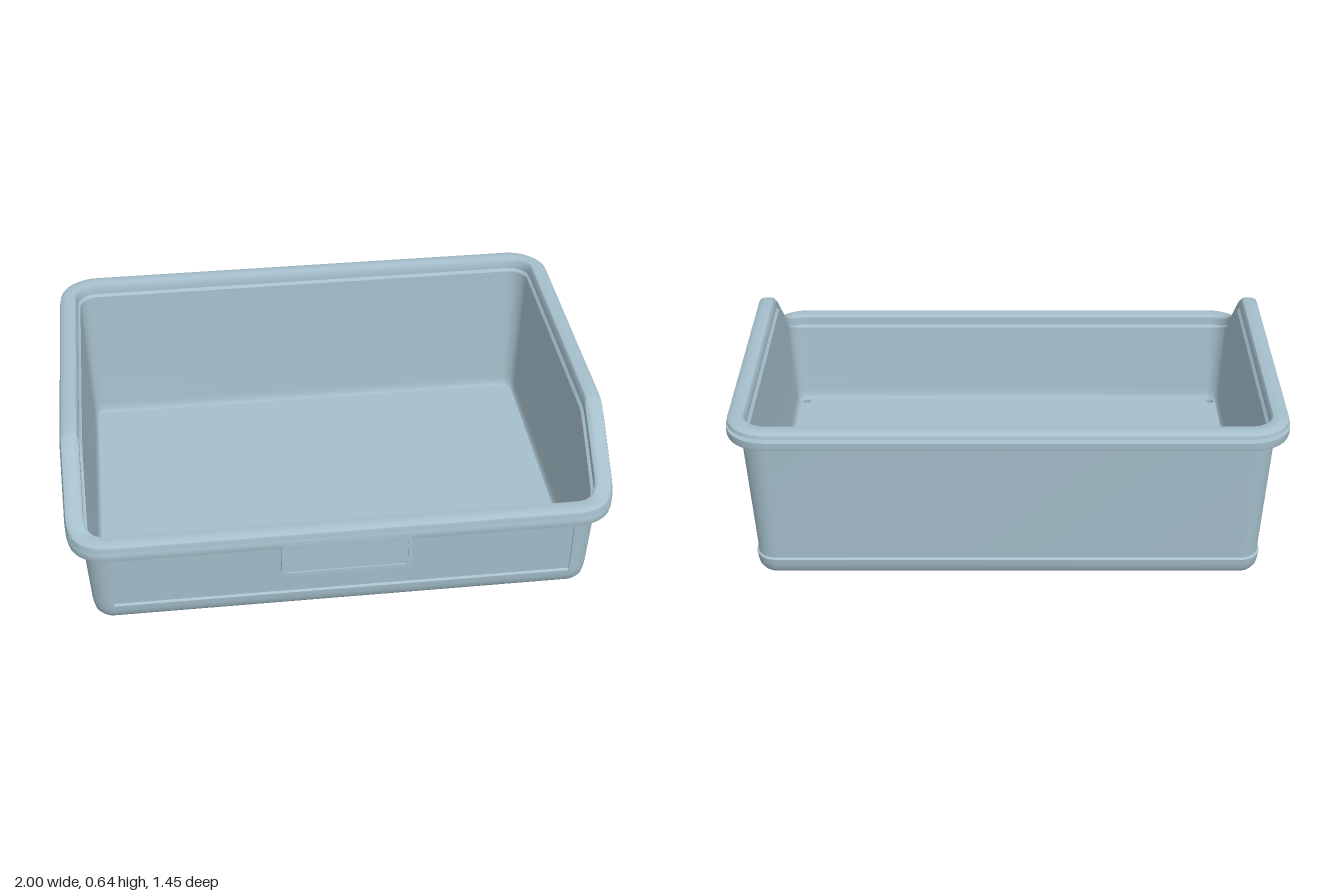
import * as THREE from 'three';
import { toCreasedNormals } from 'three/addons/utils/BufferGeometryUtils.js';

const HX = 0.92, HZ = 0.645, R = 0.07; // body outline half sizes and corner radius

// height of the rim: high at the back, sloping down to a low front
const RIM = [[0.33, 0.645], [0.36, 0.64], [0.4, 0.612], [0.6, 0.438], [0.64, 0.415], [0.67, 0.41]];
function rimHeight(z) {
  if (z <= RIM[0][0]) return RIM[0][1];
  for (let i = 1; i < RIM.length; i++) {
    const [z0, y0] = RIM[i - 1], [z1, y1] = RIM[i];
    if (z <= z1) return y0 + (y1 - y0) * (z - z0) / (z1 - z0);
  }
  return RIM[RIM.length - 1][1];
}

// rounded rectangle outline: arc centres with outward normals; front corners carry raised posts
function bodyOutline() {
  const pts = [], cx = HX - R, cz = HZ - R, n = 10;
  const sideZ = [-0.5, -0.3, -0.1, 0.18, 0.33, 0.36, 0.4, 0.5];
  [[1, 1], [-1, 1], [-1, -1], [1, -1]].forEach(([sx, sz], k) => {
    for (let i = 0; i <= n; i++) {
      const a = (k + i / n) * Math.PI / 2;
      const p = { x: sx * cx, z: sz * cz, nx: Math.cos(a), nz: Math.sin(a), post: 0 };
      if (sz > 0 && i === 0) pts.push(p);
      pts.push({ ...p, post: sz > 0 ? 1 : 0 });
      if (sz > 0 && i === n) pts.push(p);
    }
    if (k === 1) for (const z of [...sideZ].reverse()) pts.push({ x: -cx, z, nx: -1, nz: 0, post: 0 });
    if (k === 3) for (const z of sideZ) pts.push({ x: cx, z, nx: 1, nz: 0, post: 0 });
  });
  return pts;
}

// slot running round the rim, deepest along the back
const slot = (p) => 0.01 * THREE.MathUtils.clamp((0.18 - p.z) / 0.5, 0, 1) + 0.03 * Math.max(0, -p.nz);

// one section of the tub: offset from the outline and height, going from underside over the rim to the floor
const fixed = (off, y) => () => [off, y];
const rim = (off, dy, cut = 0) => (p) => {
  const o = off - cut * slot(p);
  return [o, rimHeight(p.z + p.nz * (R + o)) + dy];
};
const wall = (y) => (p) => {
  const h = y ?? rimHeight(p.z + p.nz * (R + 0.025)) - 0.045;
  return [0.06 * (h - 0.07) + 0.008 * p.post, h];
};
const SECTION = [
  // rounded base
  fixed(-0.03, 0), fixed(-0.012, 0.007), fixed(0, 0.023), fixed(0.005, 0.045), fixed(0.008, 0.068),
  // tapered outer wall
  wall(0.074), wall(null),
  // hollow flange with slot and rounded top
  rim(0.058, -0.046), rim(0.06, -0.067), rim(0.078, -0.067), rim(0.08, -0.06), rim(0.08, -0.036),
  rim(0.079, -0.033, 1), rim(0.077, -0.025, 1), rim(0.077, -0.022), rim(0.074, -0.01),
  rim(0.064, -0.003), rim(0.052, 0), rim(0.03, 0), rim(0.018, -0.003), rim(0.011, -0.012), rim(0.01, -0.045),
  // inner wall and floor fillet
  rim(0, -0.055), fixed(-0.017, 0.075), fixed(-0.02, 0.05), fixed(-0.025, 0.036), fixed(-0.03, 0.03),
];

function tubGeometry() {
  const pts = bodyOutline(), n = pts.length, pos = [], idx = [];
  SECTION.forEach((row, j) => {
    pts.forEach((p, i) => {
      const [off, y] = row(p);
      pos.push(p.x + p.nx * (R + off), y, p.z + p.nz * (R + off));
      if (j === SECTION.length - 1) return;
      const a = j * n + i, b = j * n + (i + 1) % n;
      idx.push(a, a + n, b, b, a + n, b + n);
    });
  });
  const g = new THREE.BufferGeometry();
  g.setAttribute('position', new THREE.Float32BufferAttribute(pos, 3));
  g.setIndex(idx);
  return toCreasedNormals(g, 0.65);
}

function roundedRect(w, h, r, Type = THREE.Shape) {
  const s = new Type(), x = w / 2 - r, y = h / 2 - r;
  s.absarc(x, y, r, 0, Math.PI / 2);
  s.absarc(-x, y, r, Math.PI / 2, Math.PI);
  s.absarc(-x, -y, r, Math.PI, Math.PI * 1.5);
  s.absarc(x, -y, r, Math.PI * 1.5, Math.PI * 2);
  s.closePath();
  return s;
}

export function createModel() {
  const group = new THREE.Group();
  const plastic = new THREE.MeshStandardMaterial({ color: 0xa5bfcb });
  plastic.name = 'blueGreyPlastic';
  const add = (name, geo) => {
    const m = new THREE.Mesh(geo, plastic);
    m.name = name;
    group.add(m);
    return m;
  };

  add('tubWallsAndRim', tubGeometry());

  // floor with two drain holes at the front corners
  const floor = roundedRect(2 * (HX - 0.03), 2 * (HZ - 0.03), R - 0.03);
  for (const s of [-1, 1]) {
    const hole = new THREE.Path();
    hole.absarc(s * 0.865, -0.59, 0.016, 0, Math.PI * 2, true);
    floor.holes.push(hole);
  }
  const floorGeo = new THREE.ExtrudeGeometry(floor, { depth: 0.03, bevelEnabled: false, curveSegments: 10 });
  add('floor', floorGeo.rotateX(-Math.PI / 2));

  // label plate hanging from the front rim, with a raised border
  const plate = (name, shape, depth) => {
    const geo = new THREE.ExtrudeGeometry(shape, { depth, bevelEnabled: false, curveSegments: 6 });
    add(name, geo).position.set(0, 0.288, 0.702);
  };
  plate('labelPlate', roundedRect(0.465, 0.138, 0.018), 0.019);
  const border = roundedRect(0.474, 0.146, 0.022);
  border.holes.push(roundedRect(0.445, 0.118, 0.01, THREE.Path));
  plate('labelBorder', border, 0.025);

  return group;
}
